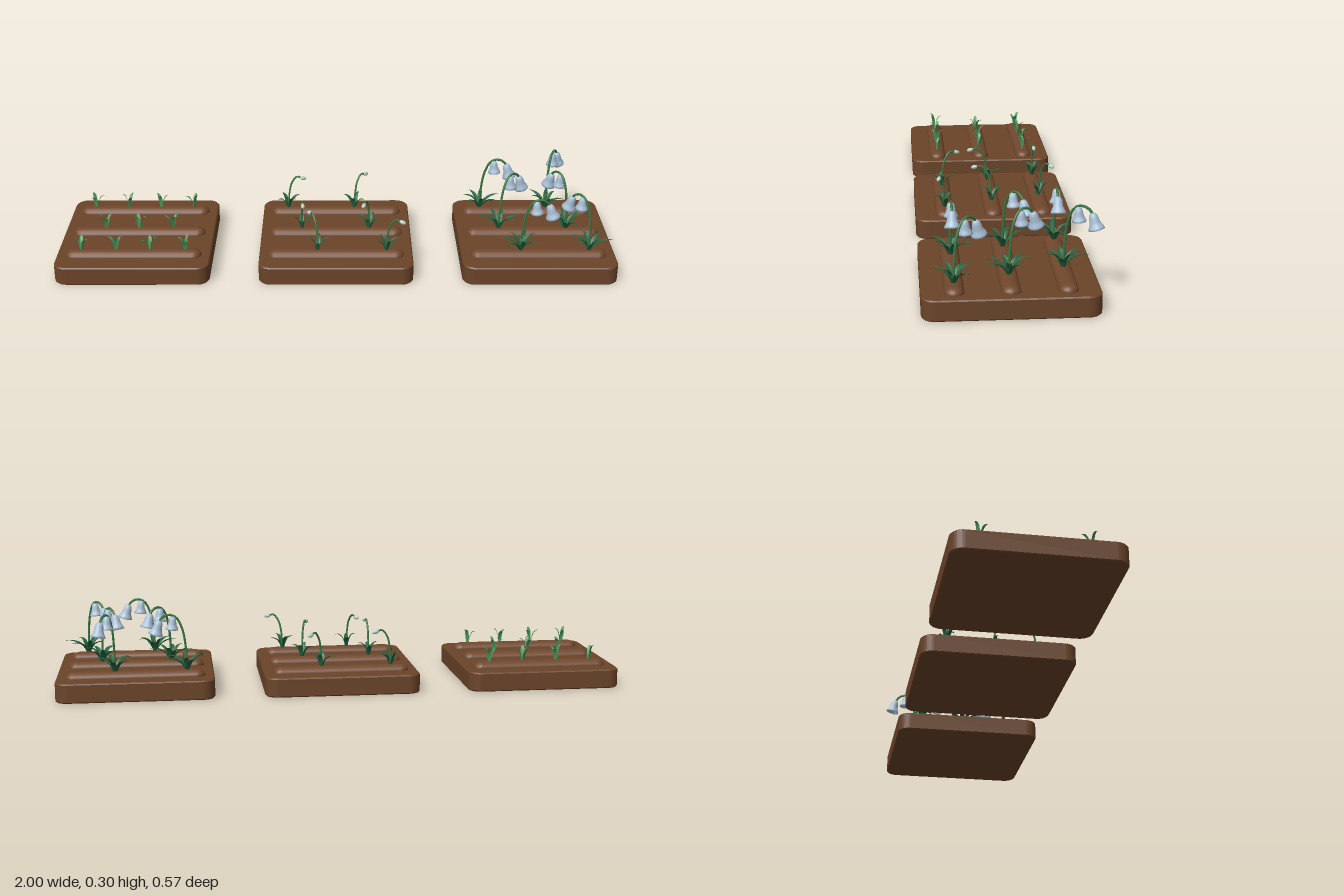
import * as THREE from 'three';

const mat = (name, color, side = THREE.FrontSide) =>
  Object.assign(new THREE.MeshStandardMaterial({ color, side }), { name });
const soil = mat('soil', 0x6b4429);
const ridgeSoil = mat('ridge soil', 0x70472c);
const sproutGreen = mat('sprout green', 0x4a9a5c, THREE.DoubleSide);
const leafGreen = mat('leaf green', 0x24633f, THREE.DoubleSide);
const stemGreen = mat('stem green', 0x3a7a45);
const budPale = mat('bud pale', 0xb4d2c4);
const bellBlue = mat('bell blue', 0xa9c0d6, THREE.DoubleSide);

const ROWS = [-0.175, 0, 0.173];
const GROUND = 0.082;

function mesh(name, geometry, material, parent) {
  const m = new THREE.Mesh(geometry, material);
  m.name = name;
  parent.add(m);
  return m;
}

function group(name, x, y, z, parent) {
  const g = new THREE.Group();
  g.name = name;
  g.position.set(x, y, z);
  if (parent) parent.add(g);
  return g;
}

// Folded, pointed blade arching out along +x
function leafGeometry(reach, height, halfWidth) {
  const curve = new THREE.QuadraticBezierCurve(
    new THREE.Vector2(0.003, 0), new THREE.Vector2(reach * 0.3, height * 1.12), new THREE.Vector2(reach, height));
  const pos = [], index = [], n = 6;
  for (let i = 0; i <= n; i++) {
    const t = i / n, p = curve.getPoint(t);
    const w = halfWidth * Math.sin(Math.PI * (0.22 + 0.78 * t));
    pos.push(p.x, p.y + w * 0.5, -w, p.x, p.y, 0, p.x, p.y + w * 0.5, w);
    if (i === n) continue;
    for (const k of [0, 1]) {
      const a = i * 3 + k;
      index.push(a, a + 1, a + 3, a + 1, a + 4, a + 3);
    }
  }
  const g = new THREE.BufferGeometry();
  g.setAttribute('position', new THREE.Float32BufferAttribute(pos, 3));
  g.setIndex(index);
  g.computeVertexNormals();
  return g;
}

function addLeaves(parent, count, reach, height, halfWidth, turn, material) {
  for (let i = 0; i < count; i++) {
    const k = 1 - 0.22 * (i % 2) - 0.08 * (i % 3);
    const leaf = mesh('leaf', leafGeometry(reach * k, height * (0.88 + 0.12 * (i % 2)), halfWidth), material, parent);
    leaf.rotation.y = turn + (i * Math.PI * 2) / count + 0.2 * (i % 2);
  }
}

function addStem(parent, points, radius) {
  const curve = new THREE.CatmullRomCurve3(points.map(([x, y]) => new THREE.Vector3(x, y, 0)));
  mesh('stem', new THREE.TubeGeometry(curve, 18, radius, 6), stemGreen, parent);
  return curve;
}

// Nodding bell with flared rim, hanging from its origin
const bellGeometry = new THREE.LatheGeometry(
  [[0.0005, 0], [0.007, -0.002], [0.012, -0.008], [0.0145, -0.018], [0.016, -0.03],
    [0.019, -0.038], [0.0235, -0.046], [0.025, -0.052], [0.0215, -0.05], [0.015, -0.034], [0.0005, -0.022]]
    .reverse().map(([x, y]) => new THREE.Vector2(x, y)), 14);

function addBell(parent, x, y, scale, tilt) {
  const bell = mesh('bell', bellGeometry, bellBlue, parent);
  bell.position.set(x, y, 0);
  bell.scale.setScalar(scale);
  bell.rotation.z = tilt;
}

// Raised bed with three rounded planting ridges
function addBed(parent) {
  const b = 0.004, h = 0.275 - b, r = 0.04;
  const s = new THREE.Shape();
  s.moveTo(-h + r, -h);
  s.absarc(h - r, -h + r, r, -Math.PI / 2, 0);
  s.absarc(h - r, h - r, r, 0, Math.PI / 2);
  s.absarc(-h + r, h - r, r, Math.PI / 2, Math.PI);
  s.absarc(-h + r, -h + r, r, Math.PI, Math.PI * 1.5);
  const g = new THREE.ExtrudeGeometry(s, {
    depth: 0.068 - 2 * b, bevelThickness: b, bevelSize: b, bevelSegments: 1, curveSegments: 4 });
  g.rotateX(-Math.PI / 2).translate(0, b, 0);
  mesh('bed', g, soil, parent);
  for (const z of ROWS) {
    const ridge = mesh('ridge', new THREE.CapsuleGeometry(0.031, 0.424, 5, 16).rotateZ(Math.PI / 2), ridgeSoil, parent);
    ridge.scale.y = 0.7;
    ridge.position.set(0, 0.068, z);
  }
}

// Budding plant: local +x is the way the stem nods
function addBudPlant(parent, x, z, dx, dz, i) {
  const plant = group('buddingPlant', x, GROUND, z, parent);
  plant.rotation.y = Math.atan2(-dz, dx);
  const reach = Math.hypot(dx, dz);
  const stem = addStem(plant, [[0, 0], [0.06 * reach, 0.06], [0.25 * reach, 0.108],
    [0.6 * reach, 0.132], [0.85 * reach, 0.128]], 0.0035);
  const end = stem.getPoint(1), dir = stem.getTangent(1);
  const bud = mesh('bud', new THREE.SphereGeometry(1, 10, 8), budPale, plant);
  bud.scale.set(0.013, 0.0075, 0.0075);
  bud.position.copy(end).addScaledVector(dir, 0.009);
  bud.rotation.z = Math.atan2(dir.y, dir.x);
  addLeaves(plant, 4, 0.055, 0.052, 0.008, i * 1.3 + 0.5, leafGreen);
}

// Flowering plant: arched stem carrying two bells
function addBellPlant(parent, x, z, dx, dz, i) {
  const plant = group('floweringPlant', x, GROUND, z, parent);
  plant.rotation.y = Math.atan2(-dz, dx);
  const lift = [0, 0.012, 0.004, 0.006, 0, 0][i];
  addStem(plant, [[0, 0], [0.003, 0.08], [0.014, 0.15 + lift], [0.035, 0.193 + lift],
    [0.06, 0.203 + lift], [0.083, 0.194 + lift], [0.093, 0.182 + lift]], 0.0043);
  addBell(plant, 0.046, 0.198 + lift, 0.92, 0.1);
  addBell(plant, 0.092, 0.185 + lift, 1.05, 0.3);
  addLeaves(plant, 7, 0.085, 0.056, 0.009, i * 0.9 + 0.3, leafGreen);
}

export function createModel() {
  const model = new THREE.Group();
  model.name = 'flowerBeds';
  const [sprouts, buds, bells] = [['sproutBed', -0.725], ['buddingBed', 0], ['floweringBed', 0.725]]
    .map(([name, x]) => {
      const bed = group(name, x, 0, 0.008, model);
      addBed(bed);
      return bed;
    });

  // Young sprouts, staggered by row
  [[-0.185, 4], [-0.123, 3], [-0.185, 4]].forEach(([start, count], row) => {
    for (let i = 0; i < count; i++) {
      const s = group('sprout', start + i * 0.1233, GROUND, ROWS[row], sprouts);
      addLeaves(s, 3, 0.034, 0.058, 0.007, row * 0.8 + i * 1.1, sproutGreen);
    }
  });

  // Each plant: base x, row, then the nod of a bud stem and of a bell stem
  [[-0.18, 0, 0.055, -0.002, 1, 0], [0.07, 0, 0.042, -0.04, 0.47, -0.88],
    [-0.125, 1, 0.005, 0.064, 0.77, -0.64], [0.122, 1, -0.022, 0.062, -0.55, -0.83],
    [-0.065, 2, -0.03, -0.058, 1, -0.03], [0.18, 2, 0.055, 0.02, -0.65, -0.76]]
    .forEach(([x, row, bx, bz, fx, fz], i) => {
      addBudPlant(buds, x, ROWS[row], bx, bz, i);
      addBellPlant(bells, x, ROWS[row], fx, fz, i);
    });
  return model;
}
